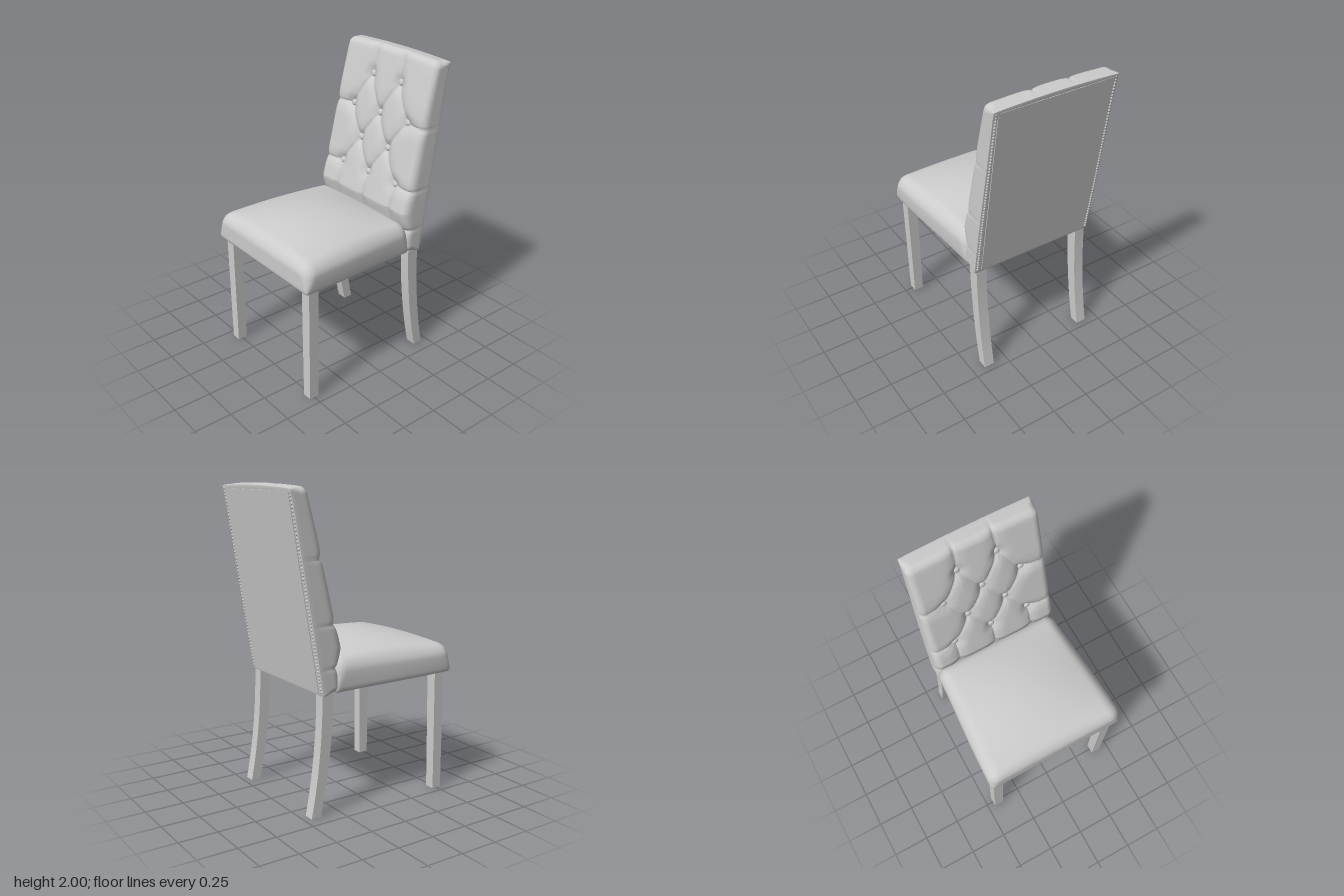
import * as THREE from 'three';
import { mergeVertices, toCreasedNormals } from 'three/addons/utils/BufferGeometryUtils.js';

const { lerp, clamp, smoothstep } = THREE.MathUtils;
const material = new THREE.MeshStandardMaterial({ color: 0xcccccc });

function add(parent, name, geometry) {
  const mesh = new THREE.Mesh(geometry, material);
  mesh.name = name;
  parent.add(mesh);
  return mesh;
}

// Move every vertex of a geometry by a rule
function deform(geometry, rule) {
  const pos = geometry.attributes.position;
  const p = new THREE.Vector3();
  for (let i = 0; i < pos.count; i++) {
    rule(p.fromBufferAttribute(pos, i));
    pos.setXYZ(i, p.x, p.y, p.z);
  }
  return geometry;
}

// Box with a rounding radius that may vary, then shaped by a rule
function softBox(half, segs, radius, rule, crease) {
  let geo = new THREE.BoxGeometry(half.x * 2, half.y * 2, half.z * 2, ...segs);
  geo.deleteAttribute('uv');
  geo.deleteAttribute('normal');
  geo = mergeVertices(geo);
  const q = new THREE.Vector3();
  deform(geo, (p) => {
    const r = radius(p);
    const inner = half.clone().subScalar(r);
    q.copy(p).clamp(inner.clone().negate(), inner);
    p.sub(q).setLength(r).add(q);
    rule(p);
  });
  geo.computeVertexNormals();
  return toCreasedNormals(geo, crease);
}

// ---- Seat ----
const seatBottom = (z) => 0.782 + 0.03 * (z - 0.3);
function seatGeometry() {
  const half = new THREE.Vector3(0.48, 0.095, 0.43);
  return softBox(half, [52, 12, 48],
    (p) => lerp(0.018, 0.075, smoothstep(p.y, -0.095, 0.06)),
    (p) => {
      const u = p.x / half.x, v = (p.y / half.y + 1) / 2, w = p.z / half.z;
      const z = p.z + 0.145;
      const crown = 0.072 * (1 - u * u) * (1 - w * w) * smoothstep(v, 0.3, 1);
      const bulge = 0.985 + 0.015 * Math.sin(Math.PI * clamp(v, 0, 1));
      p.x = u * lerp(0.43, 0.482, smoothstep(z, -0.42, 0.58)) * bulge;
      p.y = lerp(seatBottom(z), 0.975, v) + crown;
      // hollow underside
      if (v < 0.001 && Math.abs(u) < 0.84 && Math.abs(w) < 0.86) p.y += 0.035;
      p.z = z;
    }, 0.8);
}

// ---- Tufted backrest ----
const buttons = [];
for (const [y, xs] of [[1.8, [-0.13, 0.13]], [1.58, [-0.26, 0, 0.26]],
  [1.385, [-0.13, 0.13]], [1.19, [-0.26, 0, 0.26]]]) {
  for (const x of xs) buttons.push([x, y]);
}

// Fold lines: diamonds between neighbouring buttons, then runs out to the edges
const folds = [];
for (const a of buttons) {
  for (const b of buttons) {
    if (a[1] > b[1] && a[1] - b[1] < 0.25 && Math.abs(a[0] - b[0]) < 0.2) folds.push([a, b]);
  }
  if (a[1] === 1.8) folds.push([a, [a[0] * 0.93, 2.1]]);
  if (a[1] === 1.19) folds.push([a, [a[0] * 1.03, 0.9]]);
  if (Math.abs(a[0]) > 0.2) folds.push([a, [Math.sign(a[0]) * 0.5, a[1] - 0.01]]);
}
for (const s of [-1, 1]) folds.push([[s * 0.36, 0.92], [s * 0.5, 0.92]]);

function foldDistance(x, y) {
  let best = 1;
  for (const [[ax, ay], [bx, by]] of folds) {
    const dx = bx - ax, dy = by - ay;
    const t = clamp(((x - ax) * dx + (y - ay) * dy) / (dx * dx + dy * dy), 0, 1);
    best = Math.min(best, Math.hypot(x - ax - t * dx, y - ay - t * dy));
  }
  return best;
}

const gauss = (d, w) => Math.exp(-((d / w) ** 2));
const rearZ = (y) => -0.376 - 0.1645 * (y - 0.753);
const backHalfWidth = (y) => lerp(0.432, 0.417, smoothstep(y, 0.95, 2));

// Thickness of the backrest at a height
const thicknessProfile = [[0.7, 0.115], [0.92, 0.145], [1.04, 0.19], [1.3, 0.167], [1.7, 0.143], [2.05, 0.108]];
function thickness(y) {
  let i = 0;
  while (i < thicknessProfile.length - 2 && y > thicknessProfile[i + 1][0]) i++;
  const [[y0, d0], [y1, d1]] = [thicknessProfile[i], thicknessProfile[i + 1]];
  return lerp(d0, d1, clamp((y - y0) / (y1 - y0), 0, 1));
}

// Depth pressed in by folds and buttons
function tuft(x, y) {
  const d = foldDistance(x, y);
  let depth = 0.008 * gauss(d, 0.01) + 0.01 * gauss(d, 0.04);
  for (const [bx, by] of buttons) depth += 0.022 * gauss(Math.hypot(x - bx, y - by), 0.045);
  return depth;
}

function backrestGeometry() {
  const half = new THREE.Vector3(0.43, 0.622, 0.07);
  return softBox(half, [96, 136, 10],
    (p) => lerp(0.006, 0.045, smoothstep(p.z, -0.07, 0.02)),
    (p) => {
      const u = p.x / half.x, t = (p.z / half.z + 1) / 2;
      const y = p.y + 1.378;
      const x = u * backHalfWidth(y);
      const fold = gauss(foldDistance(x, y), 0.012);
      const edge = smoothstep(y, 1.9, 2);
      p.x = x * (1 - 0.012 * fold * t * smoothstep(Math.abs(u), 0.8, 1));
      p.y = y - edge * (0.012 * u * u + 0.014 * (1 - t) + 0.006 * fold * t)
        + 0.015 * t * (1 - smoothstep(y, 0.75, 0.85));
      p.z = rearZ(y) + t * (thickness(y) - tuft(x, y));
    }, 0.8);
}

// ---- Legs ----
function frontLegGeometry() {
  return deform(new THREE.BoxGeometry(0.072, 0.81, 0.072), (p) => {
    const taper = p.y < 0 ? 0.9 : 1;
    p.set(p.x * taper + (p.y < 0 ? 0.408 : 0.414), p.y + 0.405, p.z * taper + 0.5);
  });
}

function rearLegGeometry() {
  // side outline drawn with -z to the right
  const s = new THREE.Shape();
  s.moveTo(0.39, 0);
  s.quadraticCurveTo(0.302, 0.39, 0.294, 0.8);
  s.lineTo(0.374, 0.8);
  s.quadraticCurveTo(0.373, 0.39, 0.455, 0);
  s.closePath();
  const geo = new THREE.ExtrudeGeometry(s, { depth: 0.07, bevelEnabled: false, curveSegments: 12 });
  geo.rotateY(Math.PI / 2);
  geo.translate(0.345, 0, 0);
  return toCreasedNormals(geo, 0.5);
}

// Rail between two points
function addRail(parent, name, a, b) {
  const rail = add(parent, name, new THREE.BoxGeometry(0.035, 0.035, a.distanceTo(b)));
  rail.position.copy(a).lerp(b, 0.5);
  rail.lookAt(b);
}

export function createModel() {
  const chair = new THREE.Group();
  chair.name = 'diningChair';
  add(chair, 'seat', seatGeometry());
  add(chair, 'backrest', backrestGeometry());

  // Flat upholstered panel on the rear
  const panel = add(chair, 'rearPanel', new THREE.BoxGeometry(0.77, 1.2, 0.01));
  panel.position.set(0, 1.366, rearZ(1.366));
  panel.rotation.x = -Math.atan(0.1645);

  // Tufting buttons
  const buttonGeo = new THREE.SphereGeometry(0.022, 16, 10).scale(1, 1, 0.6);
  for (const [x, y] of buttons) {
    const button = add(chair, 'button', buttonGeo);
    button.position.set(x, y, rearZ(y) + thickness(y) - tuft(x, y) + 0.006);
    button.rotation.x = -0.2;
  }

  // Nail heads along both rear edges
  const nailGeo = new THREE.SphereGeometry(0.008, 8, 6);
  for (const side of [-1, 1]) {
    const nails = new THREE.Group();
    nails.name = side > 0 ? 'leftNailHeads' : 'rightNailHeads';
    for (let i = 0; i < 56; i++) {
      const y = lerp(0.785, 1.955, i / 55);
      add(nails, 'nailHead', nailGeo).position.set(side * (backHalfWidth(y) - 0.018), y, rearZ(y));
    }
    chair.add(nails);
  }

  // Legs and side rails
  for (const side of [-1, 1]) {
    const label = side > 0 ? 'left' : 'right';
    add(chair, label + 'FrontLeg', frontLegGeometry().translate(side > 0 ? 0 : -0.828, 0, 0));
    add(chair, label + 'RearLeg', rearLegGeometry().translate(side > 0 ? 0 : -0.76, 0, 0));
    addRail(chair, label + 'Rail', new THREE.Vector3(side * 0.375, 0.806, 0.48),
      new THREE.Vector3(side * 0.35, 0.785, -0.28));
  }
  addRail(chair, 'frontRail', new THREE.Vector3(-0.38, 0.807, 0.49), new THREE.Vector3(0.38, 0.807, 0.49));
  addRail(chair, 'rearRail', new THREE.Vector3(-0.35, 0.785, -0.24), new THREE.Vector3(0.35, 0.785, -0.24));
  return chair;
}
